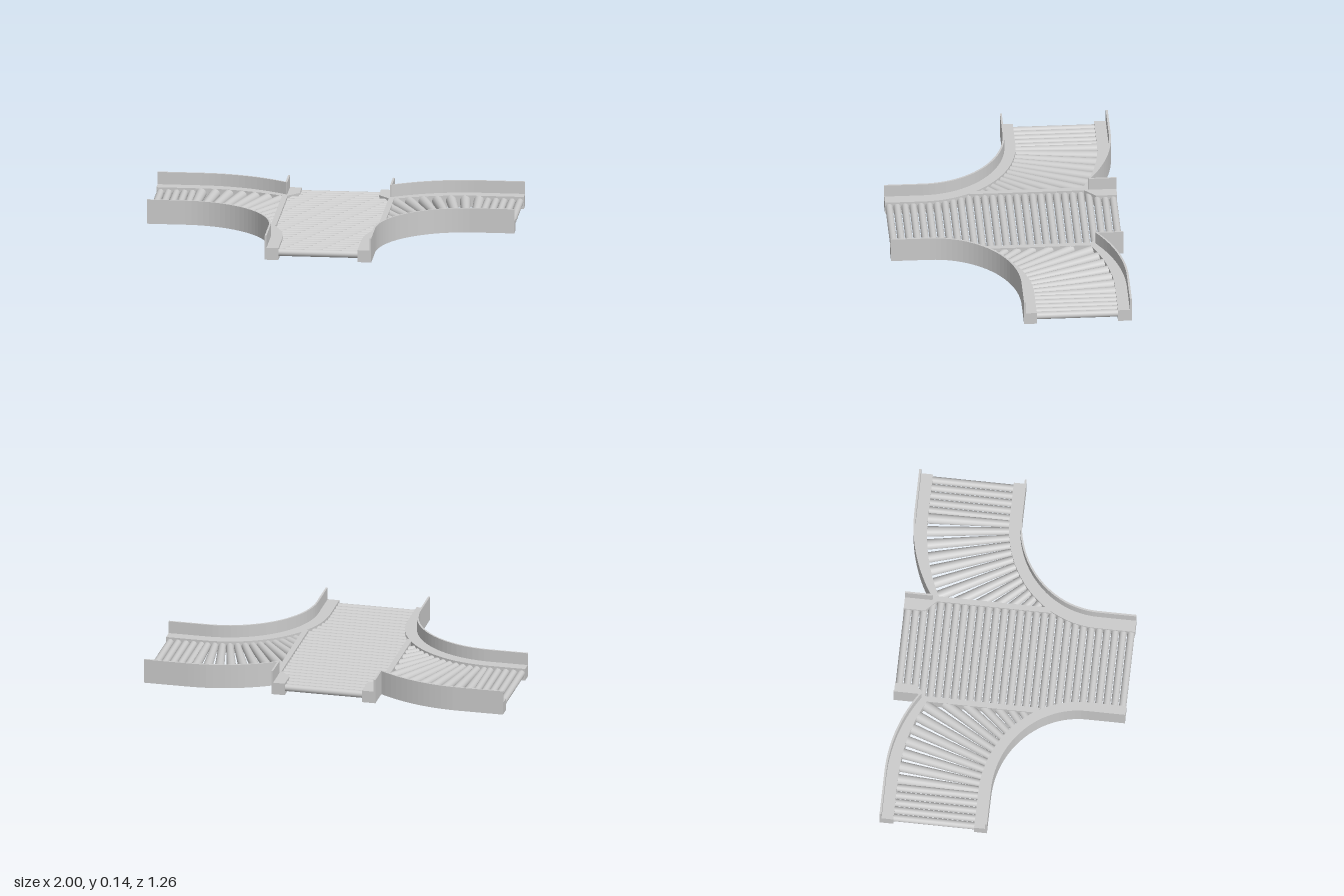
import * as THREE from 'three';

const LEDGE = 0.067, WALL = 0.135, ROLLER_Y = 0.038, R = 0.02;
const CX = 0.79, CZ = 0.42; // centre of the branch curve
const steps = (n, f) => Array.from({ length: n + 1 }, (_, i) => f(i / n));

// Front rail line: along the branch, round the curve, then along the lane
const frontLine = (rx, rz) => [
  [1, CZ - rz],
  ...steps(24, t => [CX - rx * Math.sin(t * Math.PI / 2), CZ - rz * Math.cos(t * Math.PI / 2)]),
  [CX - rx, 0.63],
];

// Back rail line: straight, then a shallow arc towards the lane
const BX = 0.754;
const backZ = (x, z0, r) => z0 + (x < BX ? r - Math.sqrt(r * r - (BX - x) ** 2) : 0);
const backLine = (z0, r) => [
  [1, z0],
  ...steps(14, t => { const x = BX + (0.285 - BX) * t; return [x, backZ(x, z0, r)]; }),
];
const innerBackZ = x => backZ(x, -0.555, 1);

export function createModel() {
  const model = new THREE.Group();
  const mat = new THREE.MeshStandardMaterial({ color: 0xcccccc });

  const add = (parent, name, geo) => {
    const mesh = new THREE.Mesh(geo, mat);
    mesh.name = name;
    parent.add(mesh);
    return mesh;
  };

  // Upright prism from a plan outline of [x, z] points
  const prism = (parent, name, pts, side, height) => {
    const shape = new THREE.Shape(pts.map(([x, z]) => new THREE.Vector2(side * x, -z)));
    const geo = new THREE.ExtrudeGeometry(shape, { depth: height, bevelEnabled: false });
    return add(parent, name, geo.rotateX(-Math.PI / 2));
  };
  const band = (parent, name, a, b, side, height) =>
    prism(parent, name, [...a, ...b.slice().reverse()], side, height);

  // Roller between two plan points, optionally tapered
  const roller = (parent, name, a, b, ra = R, rb = R) => {
    const from = new THREE.Vector3(a[0], ROLLER_Y, a[1]);
    const to = new THREE.Vector3(b[0], ROLLER_Y, b[1]);
    const dir = to.clone().sub(from);
    const mesh = add(parent, name, new THREE.CylinderGeometry(rb, ra, dir.length(), 16));
    mesh.position.copy(from).add(to).multiplyScalar(0.5);
    mesh.quaternion.setFromUnitVectors(new THREE.Vector3(0, 1, 0), dir.normalize());
  };

  // Main lane rollers, wider where the lane opens to the branches
  const lane = new THREE.Group();
  lane.name = 'mainLaneRollers';
  model.add(lane);
  const count = 29, pitch = 1.26 / count;
  for (let i = 0; i < count; i++) {
    const z = -0.63 + pitch * (i + 0.5);
    let half = 0.285;
    if (z < -0.5) half = 0.22;
    else if (z >= CZ) half = 0.22;
    else if (z > 0.1) half = Math.min(half, CX - 0.57 * Math.sqrt(1 - ((CZ - z) / 0.535) ** 2));
    roller(lane, 'laneRoller', [-half, z], [half, z]);
  }

  for (const side of [1, -1]) {
    const branch = new THREE.Group();
    branch.name = side > 0 ? 'leftBranch' : 'rightBranch';
    model.add(branch);

    // Curved front rail: ledge with a thin outer guard
    band(branch, 'frontLedge', frontLine(0.5, 0.465), frontLine(0.575, 0.535), side, LEDGE);
    band(branch, 'frontGuard', frontLine(0.5, 0.465), frontLine(0.51, 0.475), side, WALL);

    // Back rail
    band(branch, 'backLedge', backLine(-0.63, 0.85), backLine(-0.555, 1), side, LEDGE);
    band(branch, 'backGuard', backLine(-0.63, 0.85), backLine(-0.619, 0.85), side, WALL);

    // Lane end rail with a chamfered corner
    prism(branch, 'laneEndLedge', [[0.29, -0.63], [0.215, -0.63], [0.215, -0.515],
      [0.275, -0.455], [0.29, -0.455]], side, LEDGE);
    prism(branch, 'laneEndGuard', [[0.29, -0.63], [0.28, -0.63], [0.28, -0.48], [0.29, -0.48]], side, WALL);

    // Divider between the lane and the branch
    prism(branch, 'divider', [[0.275, -0.47], [0.305, -0.47], [0.305, 0.15], [0.275, 0.17]], side, LEDGE);

    // Straight branch rollers
    for (let i = 0; i < 5; i++) {
      const x = 0.978 - i * 0.0435;
      roller(branch, 'branchRoller', [side * x, -0.1], [side * x, -0.565]);
    }

    // Fanned tapered rollers, cut off at the back rail or the divider
    for (let i = 0; i < 13; i++) {
      const a = THREE.MathUtils.degToRad(2 + i * 4.4);
      const s = Math.sin(a), c = Math.cos(a);
      const start = 1 / Math.hypot(s / 0.565, c / 0.525);
      let end = start;
      while (CX - end * s > 0.295 && CZ - end * c > innerBackZ(CX - end * s) - 0.01) end += 0.004;
      if (end - start < 0.03) continue;
      const radius = d => R + (d - 0.53) * 0.02;
      roller(branch, 'fanRoller', [side * (CX - start * s), CZ - start * c],
        [side * (CX - end * s), CZ - end * c], radius(start), radius(end));
    }
  }
  return model;
}
